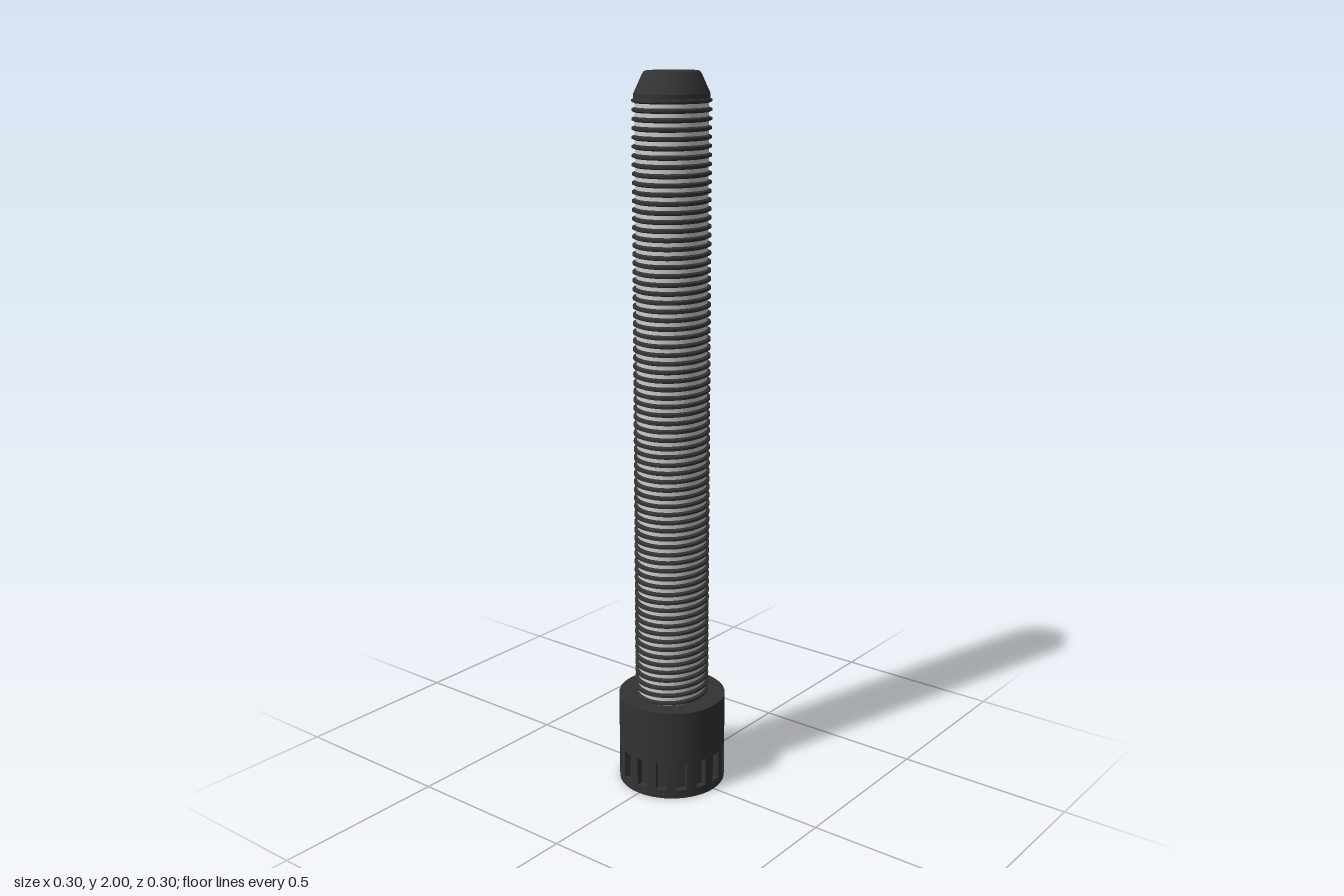
import * as THREE from 'three';
import { toCreasedNormals } from 'three/addons/utils/BufferGeometryUtils.js';

const SHAFT_X = 1.0, SHAFT_Z = 0.88; // the shaft is slightly oval
const HEAD_R = 0.152, SLOTS = 16, SLOT_PHASE = 0.07, SLOT_DEPTH = 0.018;

export function createModel() {
  const group = new THREE.Group();
  const dark = new THREE.MeshStandardMaterial({ color: 0x333333 });
  const light = new THREE.MeshStandardMaterial({ color: 0xcccccc });

  const add = (name, geometry, material, y = 0) => {
    const mesh = new THREE.Mesh(geometry, material);
    mesh.name = name;
    mesh.position.y = y;
    group.add(mesh);
    return mesh;
  };
  const lathe = (points, segments = 48) =>
    toCreasedNormals(new THREE.LatheGeometry(points.map(p => new THREE.Vector2(...p)), segments), 0.4);

  // Head: base disc, slotted band and upper collar
  add('headBase', lathe([[0, 0], [HEAD_R, 0], [HEAD_R, 0.025], [0, 0.025]]), dark);
  add('headCollar', lathe([[0, 0.107], [HEAD_R, 0.107], [HEAD_R, 0.262], [0, 0.262]]), dark);

  const band = new THREE.Shape();
  const halfSlot = 0.1, pitch = Math.PI * 2 / SLOTS;
  const corner = (r, a) => [Math.sin(a) * r, -Math.cos(a) * r];
  for (let i = 0; i < SLOTS; i++) {
    const a = SLOT_PHASE + i * pitch;
    const points = [corner(HEAD_R, a - halfSlot), corner(HEAD_R - SLOT_DEPTH, a - halfSlot),
      corner(HEAD_R - SLOT_DEPTH, a + halfSlot), corner(HEAD_R, a + halfSlot),
      corner(HEAD_R, a + pitch / 2)];
    points.forEach((p, j) => (i + j === 0 ? band.moveTo(...p) : band.lineTo(...p)));
  }
  const bandGeometry = new THREE.ExtrudeGeometry(band, { depth: 0.082, bevelEnabled: false });
  bandGeometry.rotateX(-Math.PI / 2);
  add('slottedBand', bandGeometry, dark, 0.025);

  // Light panels inside the slots on one side
  for (let i = 4; i < 8; i++) {
    const a = SLOT_PHASE + i * pitch, r = HEAD_R - SLOT_DEPTH + 0.002;
    const panel = add('slotPanel', new THREE.BoxGeometry(0.026, 0.08, 0.004), light, 0.066);
    panel.position.x = Math.sin(a) * r;
    panel.position.z = Math.cos(a) * r;
    panel.rotation.y = a;
  }

  // Shaft core
  const core = add('shaftCore', new THREE.CylinderGeometry(0.104, 0.104, 1.68, 48, 1, true), light, 1.1);
  core.scale.set(SHAFT_X, 1, SHAFT_Z);

  // Evenly spaced thread ridges
  const ridges = 72, first = 0.27, last = 1.925;
  const ridgeGeometry = lathe([[0.1, -0.008], [0.113, -0.003], [0.113, 0.003], [0.1, 0.008]]);
  for (let i = 0; i < ridges; i++) {
    const ridge = add('threadRidge', ridgeGeometry, dark, first + (last - first) * i / (ridges - 1));
    ridge.scale.set(SHAFT_X, 1, SHAFT_Z);
  }

  // Tapered tip with a shallow dished end
  const tip = add('tip', lathe([[0, 1.93], [0.108, 1.93], [0.108, 1.942], [0.083, 1.992],
    [0.078, 1.998], [0.072, 2], [0.066, 1.998], [0.057, 1.99], [0, 1.99]]), dark);
  tip.scale.set(SHAFT_X, 1, SHAFT_Z);

  return group;
}
